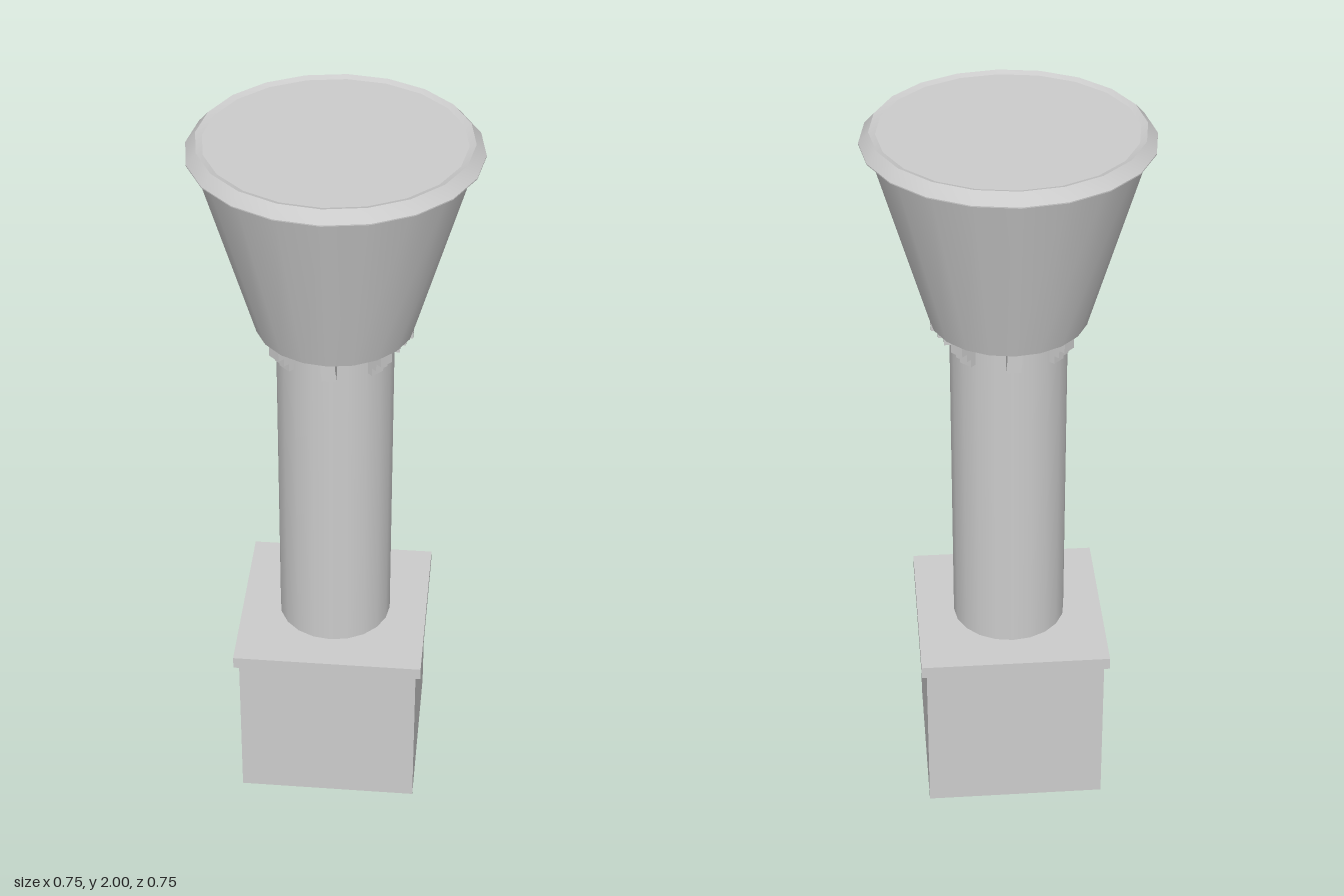
import * as THREE from 'three';
import { toCreasedNormals } from 'three/addons/utils/BufferGeometryUtils.js';

const SIDES = 20;
const material = new THREE.MeshStandardMaterial({ color: 0xcccccc });
const openMaterial = new THREE.MeshStandardMaterial({ color: 0xcccccc, side: THREE.DoubleSide });

export function createModel() {
  const group = new THREE.Group();

  function add(name, geometry, y = 0, mat = material, parent = group) {
    const mesh = new THREE.Mesh(geometry, mat);
    mesh.name = name;
    mesh.position.y = y;
    parent.add(mesh);
    return mesh;
  }

  // Square plinth: four thin walls, open underneath
  const plinth = new THREE.Group();
  plinth.name = 'plinth';
  group.add(plinth);
  for (let i = 0; i < 4; i++) {
    const wall = new THREE.PlaneGeometry(0.496, 0.462).translate(0, 0, 0.248);
    add('plinthWall', wall.rotateY(i * Math.PI / 2), 0.231, openMaterial, plinth);
  }
  add('plinthSlab', new THREE.BoxGeometry(0.524, 0.035, 0.524), 0.4795);

  // Round shaft
  add('shaft', new THREE.CylinderGeometry(0.157, 0.157, 0.964, SIDES), 0.978);

  // Flared head, closed below
  add('flaredHead', new THREE.CylinderGeometry(0.358, 0.21, 0.51, SIDES), 1.715);

  // Bevelled rim with a shallow sunken top
  const rim = [[0.34, 1.968], [0.376, 1.968], [0.376, 1.971], [0.35, 2], [0.333, 1.994]]
    .map(([r, y]) => new THREE.Vector2(r, y));
  add('rim', toCreasedNormals(new THREE.LatheGeometry(rim, SIDES), 0.4));
  const top = new THREE.CircleGeometry(0.333, SIDES).rotateX(-Math.PI / 2);
  add('topPanel', top, 1.994);

  // Eight stepped brackets under the head
  const profile = new THREE.Shape([
    [0.145, 1.387], [0.172, 1.387], [0.172, 1.41], [0.188, 1.41],
    [0.188, 1.432], [0.206, 1.432], [0.206, 1.462], [0.145, 1.462],
  ].map(([x, y]) => new THREE.Vector2(x, y)));
  const bracket = new THREE.ExtrudeGeometry(profile, { depth: 0.038, bevelEnabled: false })
    .translate(0, 0, -0.019);
  for (let i = 0; i < 8; i++) {
    add('bracket', bracket).rotation.y = i * Math.PI / 4;
  }

  return group;
}
